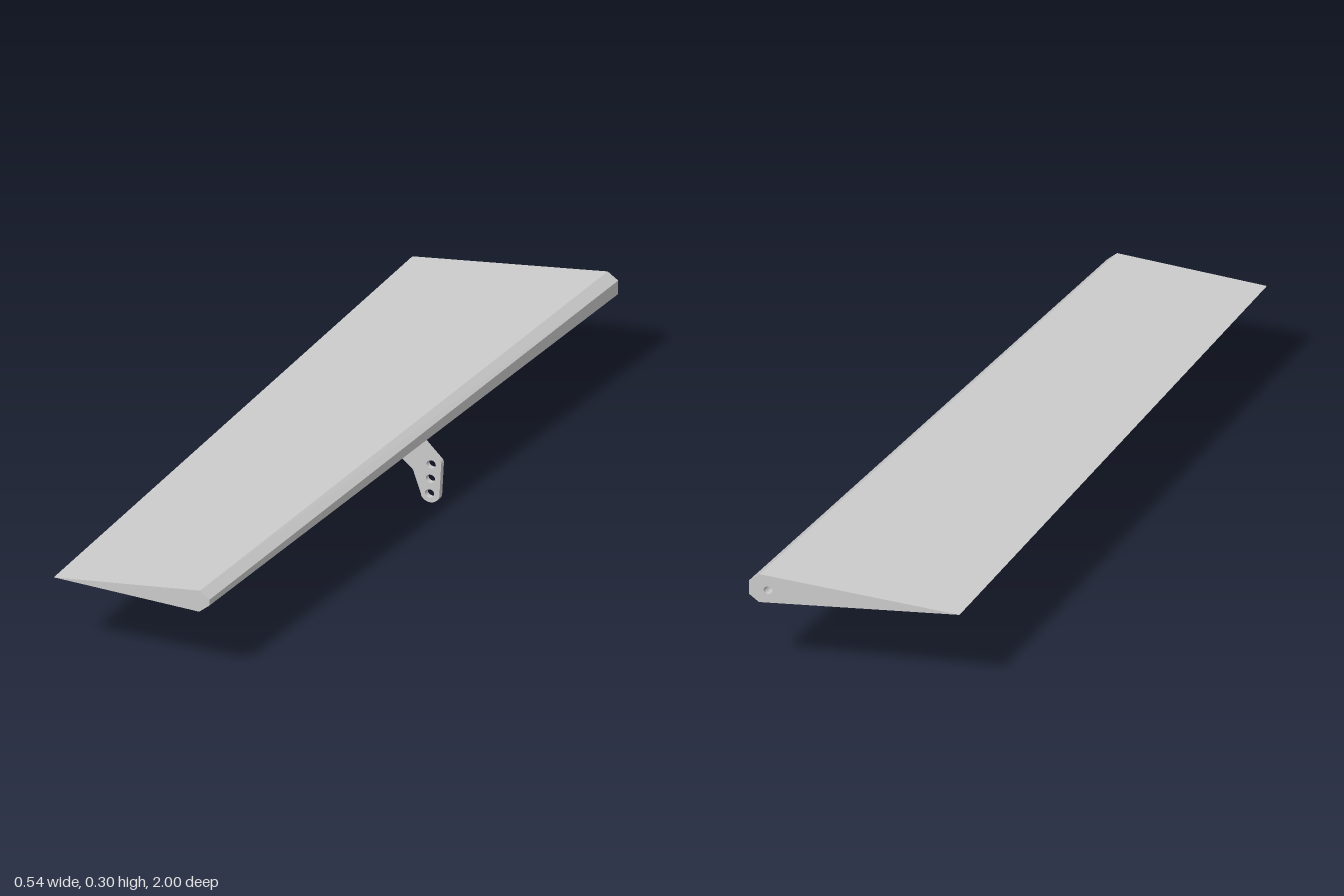
import * as THREE from 'three';

const material = new THREE.MeshStandardMaterial({ color: 0xcccccc, flatShading: true });
const insideMaterial = new THREE.MeshStandardMaterial({ color: 0xcccccc, side: THREE.BackSide });

// Section outlines (x, y): trailing edge, lower corner, two nose corners, upper corner
const backLoop = [[-0.27, 0.253], [0.238, 0.22], [0.263, 0.241], [0.263, 0.281], [0.236, 0.303]];
const frontLoop = [[-0.14, 0.246], [0.243, 0.221], [0.27, 0.245], [0.27, 0.262], [0.245, 0.284]];

// Both ends are cut at a slant
const backZ = (x) => -1 + (0.263 - x) * 0.285;
const frontZ = (x) => 0.895 + (0.27 - x) * 0.256;

const bore = { x: 0.215, y: 0.258, r: 0.011, depth: 0.15 };

const HORN_SLOPE = -0.27;

function mesh(name, geometry, mat = material) {
  const m = new THREE.Mesh(geometry, mat);
  m.name = name;
  return m;
}

function moveZ(geometry, rule) {
  const p = geometry.attributes.position;
  for (let i = 0; i < p.count; i++) p.setZ(i, rule(p.getX(i), p.getZ(i)));
  geometry.computeVertexNormals();
  return geometry;
}

const outline = (points) => new THREE.Shape(points.map(([x, y]) => new THREE.Vector2(x, y)));

function circle(x, y, r) {
  return new THREE.Path().absarc(x, y, r, 0, Math.PI * 2, true);
}

// Long faces running between the two end sections
function skinGeometry() {
  const pos = [];
  const n = backLoop.length;
  const back = (i) => [...backLoop[i], backZ(backLoop[i][0])];
  const front = (i) => [...frontLoop[i], frontZ(frontLoop[i][0])];
  for (let i = 0; i < n; i++) {
    const j = (i + 1) % n;
    pos.push(...back(i), ...back(j), ...front(j), ...back(i), ...front(j), ...front(i));
  }
  const g = new THREE.BufferGeometry();
  g.setAttribute('position', new THREE.Float32BufferAttribute(pos, 3));
  g.computeVertexNormals();
  return g;
}

function createPanel() {
  const group = new THREE.Group();
  group.name = 'panel';
  group.add(mesh('panelSkin', skinGeometry()));
  group.add(mesh('frontEnd', moveZ(new THREE.ShapeGeometry(outline(frontLoop)), frontZ)));

  // Back end with the hinge bore, wound to face backwards
  const backShape = outline(backLoop);
  backShape.holes.push(circle(bore.x, bore.y, bore.r));
  const backCap = new THREE.ShapeGeometry(backShape, 24);
  backCap.index.array.reverse();
  group.add(mesh('backEnd', moveZ(backCap, backZ)));

  // Blind bore: its mouth follows the slanted end
  const wall = new THREE.CylinderGeometry(bore.r, bore.r, bore.depth, 24, 1, false);
  wall.rotateX(Math.PI / 2).translate(bore.x, bore.y, 0);
  const floorZ = backZ(bore.x) + bore.depth;
  // Drop the cap at the mouth, keeping the wall and the floor
  const p = wall.attributes.position;
  const kept = [];
  for (let i = 0; i < wall.index.count; i += 3) {
    const tri = [0, 1, 2].map((k) => wall.index.getX(i + k));
    if (!tri.every((v) => p.getZ(v) < 0)) kept.push(...tri);
  }
  wall.setIndex(kept);
  moveZ(wall, (x, z) => (z < 0 ? backZ(x) : floorZ));
  group.add(mesh('hingeBore', wall, insideMaterial));
  return group;
}

function createHorn() {
  const group = new THREE.Group();
  group.name = 'controlHorn';

  // Arm outline, bent towards the nose with a rounded tip
  const arm = new THREE.Shape();
  arm.moveTo(0.022, 0.242);
  arm.lineTo(0.03, 0.227);
  arm.lineTo(0.043, 0.211);
  arm.lineTo(0.168, 0.096);
  arm.quadraticCurveTo(0.173, 0.092, 0.176, 0.084);
  arm.lineTo(0.196, 0.018);
  arm.absarc(0.219, 0.0245, 0.0245, Math.PI * 1.09, Math.PI * 2, false);
  arm.lineTo(0.248, 0.118);
  arm.quadraticCurveTo(0.248, 0.124, 0.244, 0.129);
  arm.lineTo(0.187, 0.194);
  arm.quadraticCurveTo(0.182, 0.2, 0.182, 0.207);
  arm.lineTo(0.182, 0.232);
  arm.closePath();
  for (const [x, y] of [[0.222, 0.113], [0.22, 0.07], [0.218, 0.026]]) {
    arm.holes.push(circle(x, y, 0.012));
  }
  const plate = new THREE.ExtrudeGeometry(arm, { depth: 0.013, bevelEnabled: false, curveSegments: 16 });
  moveZ(plate, (x, z) => -0.16 + z + HORN_SLOPE * (x - 0.03));
  group.add(mesh('hornArm', plate));

  // Thin mounting pad lying against the underside
  const pad = new THREE.BoxGeometry(0.17, 0.004, 0.09);
  const pivot = mesh('hornPad', pad);
  pivot.position.set(0.105, 0.2285, -0.174);
  pivot.rotation.set(0, Math.atan(-HORN_SLOPE), -0.064, 'ZYX');
  group.add(pivot);
  return group;
}

export function createModel() {
  const model = new THREE.Group();
  model.name = 'controlSurface';
  model.add(createPanel(), createHorn());
  return model;
}
